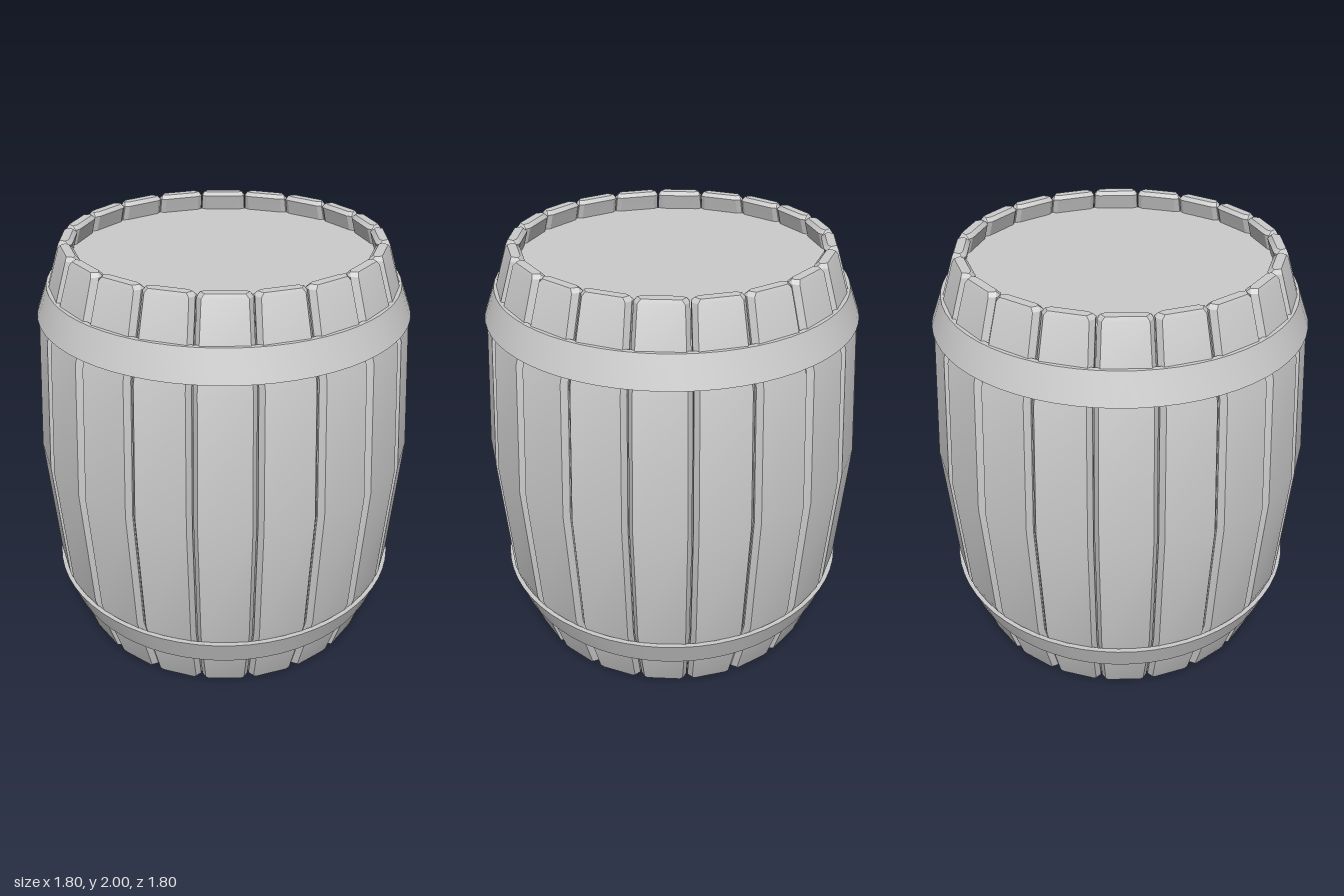
import * as THREE from 'three';
import { toCreasedNormals } from 'three/addons/utils/BufferGeometryUtils.js';

const STAVES = 20;
const STEP = (Math.PI * 2) / STAVES;

// One plank: a bevelled eight-sided section lofted through rows of
// [height, outer radius, inner radius, end inset].
function staveGeometry() {
  const half = [
    [0, 0.735, 0.695, 0.012],
    [0.017, 0.745, 0.68, 0],
    [0.37, 0.857, 0.785, 0],
  ];
  const mirrored = half.map(([y, ro, ri, e]) => [2 - y, ro, ri, e]).reverse();
  const rows = [...half, [1, 0.9, 0.825, 0], ...mirrored];
  const pos = [], index = [];

  for (const [y, ro, ri, e] of rows) {
    const edge = STEP / 2 - (0.003 + e) / ro;          // side faces
    const face = STEP / 2 - (0.024 + e) / ro;          // outer and inner faces
    const right = [[ro, face], [ro - 0.025, edge], [ri + 0.015, edge], [ri, face]];
    const left = right.map(([r, a]) => [r, -a]).reverse();
    for (const [r, a] of [...right, ...left]) {
      pos.push(r * Math.sin(a), y, r * Math.cos(a));
    }
  }
  const n = 8, last = (rows.length - 1) * n;
  for (let j = 0; j < rows.length - 1; j++) {
    for (let i = 0; i < n; i++) {
      const a = j * n + i, b = j * n + ((i + 1) % n);
      index.push(a, b, b + n, a, b + n, a + n);
    }
  }
  // End grain caps
  for (let i = 1; i < n - 1; i++) {
    index.push(0, i + 1, i, last, last + i, last + i + 1);
  }
  const g = new THREE.BufferGeometry();
  g.setAttribute('position', new THREE.Float32BufferAttribute(pos, 3));
  g.setIndex(index);
  return toCreasedNormals(g, 0.42);
}

// Conical metal band, wider towards the barrel's middle
function hoopGeometry(upper) {
  let ring = [[0.842, 1.67], [0.864, 1.67], [0.812, 1.808], [0.79, 1.808], [0.842, 1.67]];
  if (!upper) ring = ring.map(([r, y]) => [r, 2 - y]).reverse();
  const g = new THREE.LatheGeometry(ring.map(([r, y]) => new THREE.Vector2(r, y)), 64);
  return toCreasedNormals(g, 0.5);
}

export function createModel() {
  const model = new THREE.Group();
  model.name = 'barrel';
  const material = new THREE.MeshStandardMaterial({ color: 0xcccccc });
  const add = (geometry, name, parent = model) => {
    const mesh = new THREE.Mesh(geometry, material);
    mesh.name = name;
    parent.add(mesh);
    return mesh;
  };

  // Ring of planks, with a seam facing the front
  const staves = new THREE.Group();
  staves.name = 'staves';
  model.add(staves);
  const plank = staveGeometry();
  for (let i = 0; i < STAVES; i++) {
    add(plank, 'stave', staves).rotation.y = (i + 0.5) * STEP;
  }

  // Recessed round ends
  const head = new THREE.CylinderGeometry(0.72, 0.72, 0.04, 64);
  add(head, 'topHead').position.y = 1.89;
  add(head, 'bottomHead').position.y = 0.11;

  add(hoopGeometry(true), 'upperHoop');
  add(hoopGeometry(false), 'lowerHoop');
  return model;
}
